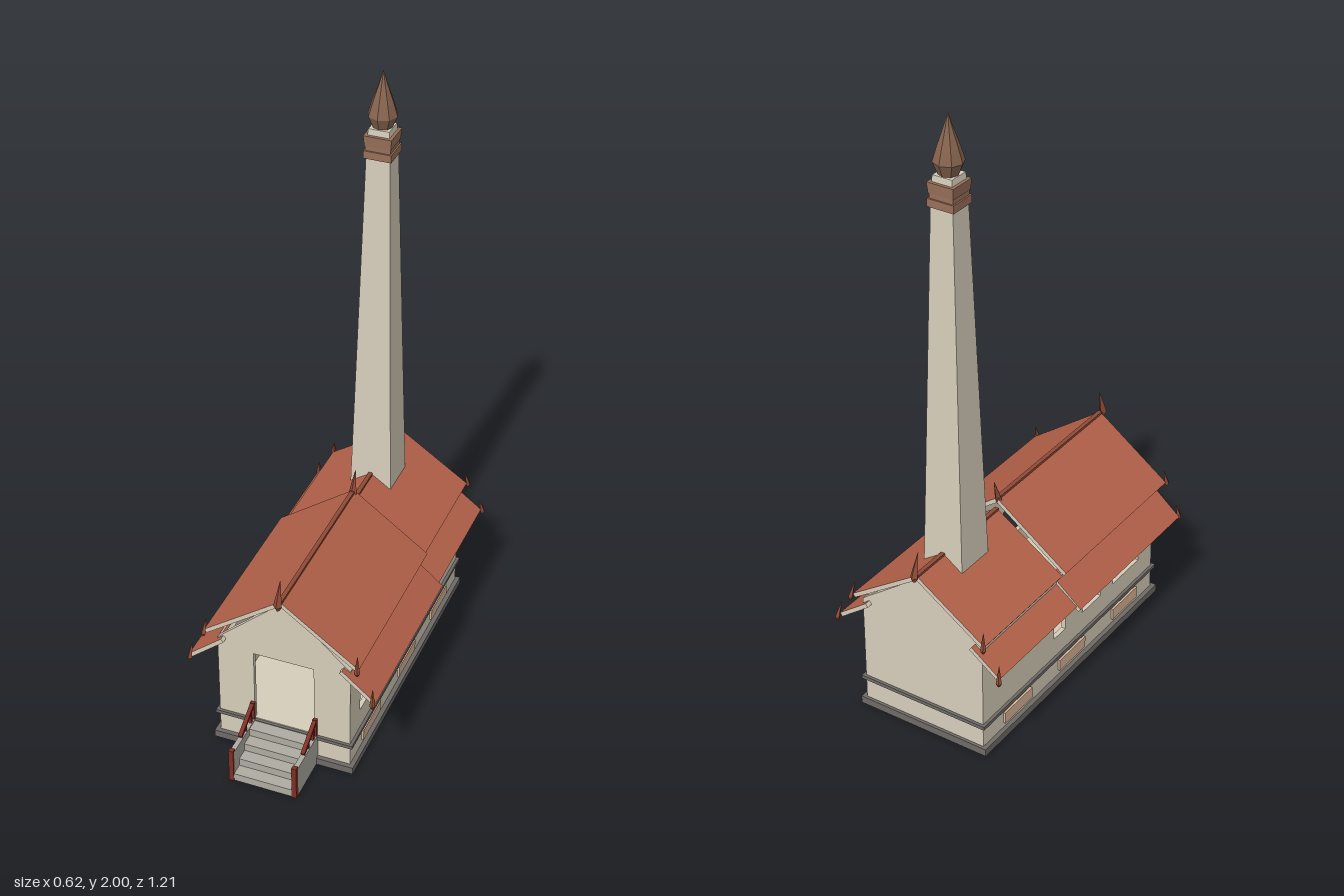
import * as THREE from 'three';

const mat = (name, color) => {
  const m = new THREE.MeshStandardMaterial({ color });
  m.name = name;
  return m;
};

export function createModel() {
  const model = new THREE.Group();
  const plaster = mat('plaster', 0xd6cdba);
  const tile = mat('roof tile', 0xb5624a);
  const stone = mat('dark stone', 0x6e6a66);
  const stepGrey = mat('step grey', 0xaeaba1);
  const horn = mat('finial brown', 0x8f4a36);
  const railRed = mat('rail red', 0x7d3026);
  const bandBrown = mat('band brown', 0x99705a);
  const budBrown = mat('bud brown', 0x86644f);
  const tan = mat('vent tan', 0xdab598);
  horn.flatShading = budBrown.flatShading = true;

  const add = (name, geo, material, x = 0, y = 0, z = 0) => {
    const m = new THREE.Mesh(geo, material);
    m.name = name;
    m.position.set(x, y, z);
    model.add(m);
    return m;
  };
  // Box given by its limits on each axis
  const box = (name, material, x0, x1, y0, y1, z0, z1) =>
    add(name, new THREE.BoxGeometry(x1 - x0, y1 - y0, z1 - z0), material,
      (x0 + x1) / 2, (y0 + y1) / 2, (z0 + z1) / 2);
  const polygon = (pts) => new THREE.Shape(pts.map(([x, y]) => new THREE.Vector2(x, y)));
  const rect = (x0, x1, y0, y1) => polygon([[x0, y0], [x1, y0], [x1, y1], [x0, y1]]);
  const extrude = (shape, depth) => new THREE.ExtrudeGeometry(shape, { depth, bevelEnabled: false });

  // Plinth, base slab and moulding
  box('baseSlab', stone, -0.235, 0.235, 0, 0.025, -0.57, 0.445);
  box('plinth', plaster, -0.22, 0.22, 0.025, 0.112, -0.56, 0.43);
  box('plinthMoulding', stone, -0.23, 0.23, 0.098, 0.11, -0.57, 0.44);

  // Gable walls: front with a doorway, back closed
  const gable = (apex) => polygon([[-0.22, 0.11], [0.22, 0.11], [0.22, 0.405], [0, apex], [-0.22, 0.405]]);
  const front = gable(0.605);
  front.holes.push(rect(-0.1, 0.1, 0.113, 0.375));
  add('frontWall', extrude(front, 0.015), plaster, 0, 0, 0.415);
  add('backWall', extrude(gable(0.567), 0.015), plaster, 0, 0, -0.56);

  // Side walls with three windows each, and vent panels on the plinth
  const side = rect(-0.43, 0.56, 0.11, 0.405);
  for (const [z0, z1] of [[0.185, 0.345], [0, 0.11], [-0.165, -0.1]]) {
    side.holes.push(rect(-z1, -z0, 0.18, 0.3));
  }
  for (const s of [-1, 1]) {
    const wall = add('sideWall', extrude(side, 0.015), plaster, s > 0 ? 0.205 : -0.22, 0, 0);
    wall.rotation.y = Math.PI / 2;
    for (const z of [0.255, -0.065, -0.375]) {
      box('plinthVent', tan, s * 0.223 - 0.004, s * 0.223 + 0.004, 0.042, 0.082, z - 0.075, z + 0.075);
    }
  }

  // Roof slabs: tiled above and below, pale along the edges
  const slabMats = [plaster, plaster, tile, tile, plaster, plaster];
  const slab = (name, s, x0, y0, x1, y1, z0, z1) => {
    const t = 0.014, len = Math.hypot(x1 - x0, y1 - y0), a = Math.atan2(y1 - y0, x1 - x0);
    const m = add(name, new THREE.BoxGeometry(len, t, z1 - z0), slabMats,
      s * ((x0 + x1) / 2 + Math.sin(a) * t / 2),
      (y0 + y1) / 2 - Math.cos(a) * t / 2, (z0 + z1) / 2);
    m.rotation.z = s * a;
  };
  for (const s of [-1, 1]) {
    slab('frontUpperRoof', s, 0, 0.625, 0.255, 0.44, -0.155, 0.45);
    slab('frontLowerRoof', s, 0.2, 0.417, 0.31, 0.325, -0.155, 0.45);
    slab('rearUpperRoof', s, 0, 0.587, 0.242, 0.425, -0.58, -0.155);
    slab('rearLowerRoof', s, 0.195, 0.405, 0.296, 0.33, -0.58, -0.155);
  }
  box('frontRidge', horn, -0.007, 0.007, 0.615, 0.628, -0.155, 0.45);
  box('rearRidge', horn, -0.007, 0.007, 0.577, 0.59, -0.58, -0.155);

  // Horn finials: a bellied foot drawn up to a point
  const hornGeo = (() => {
    const rings = [[-0.012, 0.016, 0.005], [0.004, 0.017, 0.014], [0.03, 0.01, 0.01], [0.085, -0.008, 0.0008]];
    const pos = [], idx = [];
    for (const [y, z, r] of rings) pos.push(-r, y, z, 0, y, z + r, r, y, z, 0, y, z - r);
    for (let i = 0; i < 3; i++) {
      for (let j = 0; j < 4; j++) {
        const a = i * 4 + j, b = i * 4 + (j + 1) % 4;
        idx.push(a, b, b + 4, a, b + 4, a + 4);
      }
    }
    idx.push(0, 2, 1, 0, 3, 2);
    const g = new THREE.BufferGeometry();
    g.setAttribute('position', new THREE.Float32BufferAttribute(pos, 3));
    g.setIndex(idx);
    g.computeVertexNormals();
    return g;
  })();
  const finial = (x, y, z, turn, k) => {
    const m = add('finial', hornGeo, horn, x, y, z);
    m.rotation.y = turn;
    m.scale.set(k, k, k);
  };
  finial(0, 0.617, 0.45, 0, 1);
  finial(0, 0.612, -0.162, 0, 0.95);
  finial(0, 0.583, -0.575, Math.PI, 0.95);
  for (const s of [-1, 1]) {
    finial(s * 0.25, 0.43, 0.45, s * 0.3, 0.65);
    finial(s * 0.3, 0.317, 0.45, s * 0.3, 0.65);
    finial(s * 0.238, 0.415, -0.58, Math.PI - s * 0.5, 0.65);
    finial(s * 0.293, 0.317, -0.58, Math.PI - s * 0.5, 0.65);
  }

  // Chimney: square tapered shaft, banded collar and a faceted bud
  const frustum = (name, material, top, bottom, y0, y1) => {
    const g = new THREE.CylinderGeometry(top * Math.SQRT2, bottom * Math.SQRT2, y1 - y0, 4).toNonIndexed();
    g.rotateY(Math.PI / 4);
    g.computeVertexNormals();
    add(name, g, material, 0, (y0 + y1) / 2, -0.375);
  };
  frustum('chimneyShaft', plaster, 0.038, 0.081, 0.112, 1.725);
  frustum('collarLower', bandBrown, 0.045, 0.045, 1.722, 1.747);
  frustum('collarMiddle', bandBrown, 0.04, 0.04, 1.747, 1.762);
  frustum('collarUpper', bandBrown, 0.045, 0.042, 1.762, 1.797);
  frustum('collarNeck', plaster, 0.033, 0.035, 1.797, 1.817);
  const bud = [[0, 1.815], [0.03, 1.815], [0.047, 1.855], [0.035, 1.895], [0.014, 1.955], [0, 2]];
  add('chimneyBud', new THREE.LatheGeometry(bud.map(([x, y]) => new THREE.Vector2(x, y)), 8), budBrown, 0, 0, -0.375);

  // Entrance stair: hollow steps between two cheeks
  for (let i = 0; i < 4; i++) {
    const z1 = 0.605 - i * 0.041, y1 = 0.027 * (i + 1);
    box('stairTread', stepGrey, -0.1, 0.1, y1 - 0.008, y1, z1 - 0.045, z1);
    box('stairRiser', stepGrey, -0.1, 0.1, y1 - 0.027, y1, z1 - 0.008, z1);
  }
  for (const s of [-1, 1]) {
    const x = s * 0.105;
    box('stairCheek', stepGrey, x - 0.008, x + 0.008, 0, 0.112, 0.43, 0.603);
    box('stairPost', railRed, x - 0.008, x + 0.008, 0, 0.12, 0.592, 0.608);
    // Sloping handrail on short balusters
    const rail = add('handrail', new THREE.BoxGeometry(0.013, 0.01, 0.115), railRed, x, 0.146, 0.485);
    rail.rotation.x = Math.atan2(0.055, 0.1);
    box('baluster', railRed, x - 0.005, x + 0.005, 0.11, 0.142, 0.493, 0.501);
    box('baluster', railRed, x - 0.005, x + 0.005, 0.11, 0.162, 0.452, 0.46);
    box('railEnd', railRed, x - 0.007, x + 0.007, 0.11, 0.178, 0.43, 0.44);
  }
  return model;
}
